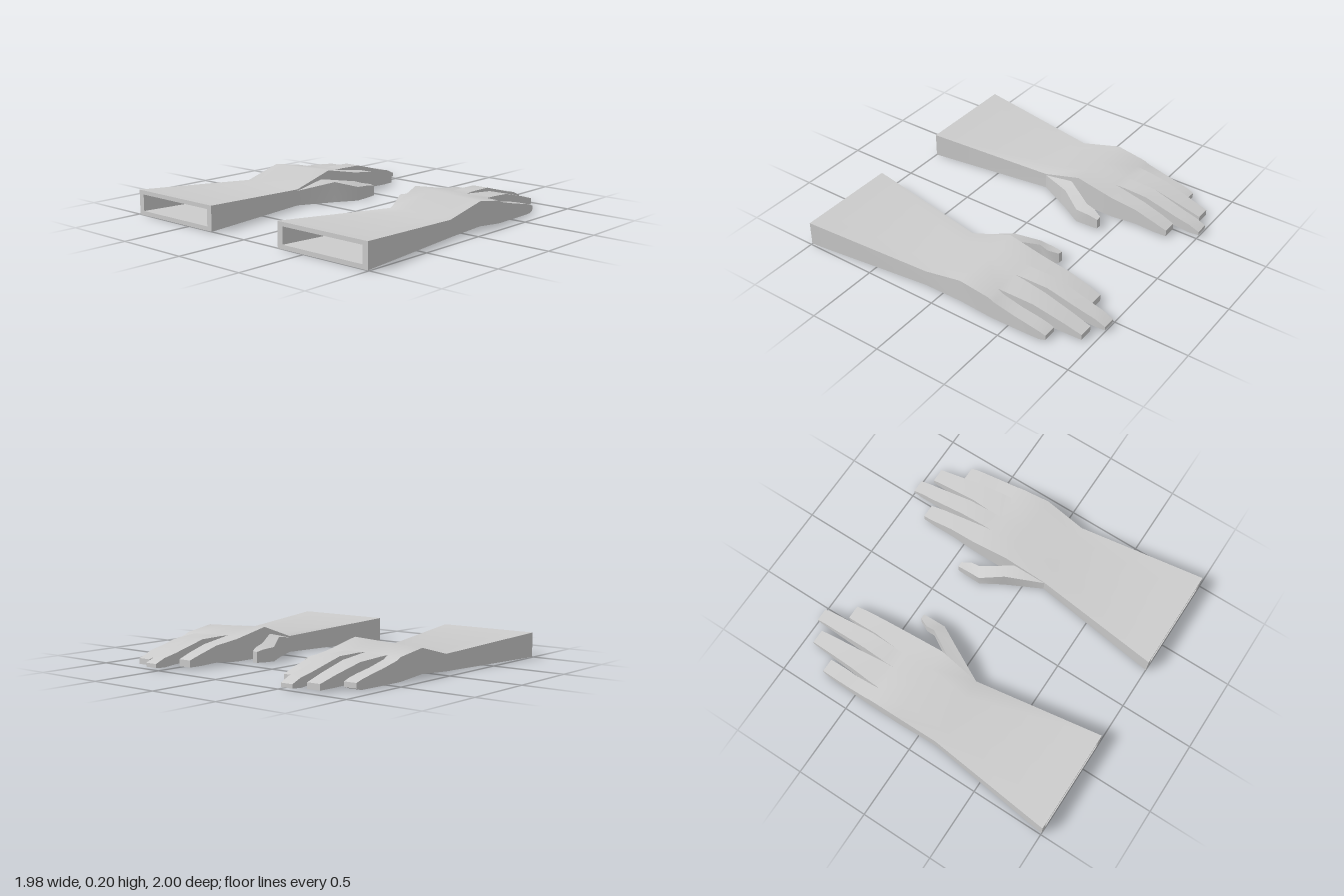
import * as THREE from 'three';
import { mergeGeometries, toCreasedNormals } from 'three/addons/utils/BufferGeometryUtils.js';

const gloveGrey = new THREE.MeshStandardMaterial({ color: 0xcccccc });
gloveGrey.name = 'gloveGrey';

// Fractions across the hand where the fingers divide
const SPLITS = [0, 0.265, 0.49, 0.81, 1];
const lerp = THREE.MathUtils.lerp;

// Cross-section: bottom row thumb side to outer side, then the top row back
function ring(z, x0, x1, b0, b1, t0, t1, splits = SPLITS) {
  const row = (y0, y1) => splits.map(f => [lerp(x0, x1, f), lerp(y0, y1, f), z]);
  return [...row(b0, b1), ...row(t0, t1).reverse()];
}

// Skin a list of rings and close both ends; side = -1 mirrors in x
function loft(rings, side) {
  const pos = [];
  const tri = (a, b, c) => {
    for (const p of side > 0 ? [a, b, c] : [a, c, b]) pos.push(p[0] * side, p[1], p[2]);
  };
  const n = rings[0].length;
  for (let r = 0; r < rings.length - 1; r++) {
    const A = rings[r], B = rings[r + 1];
    for (let i = 0; i < n; i++) {
      const j = (i + 1) % n;
      tri(A[i], B[i], A[j]);
      tri(A[j], B[i], B[j]);
    }
  }
  const first = rings[0], last = rings[rings.length - 1];
  for (let i = 0; i < n / 2 - 1; i++) {
    const j = n - 1 - i;
    tri(first[i], first[i + 1], first[j - 1]);
    tri(first[i], first[j - 1], first[j]);
    tri(last[i], last[j - 1], last[i + 1]);
    tri(last[i], last[j], last[j - 1]);
  }
  const g = new THREE.BufferGeometry();
  g.setAttribute('position', new THREE.Float32BufferAttribute(pos, 3));
  return g;
}

const WRIST = [0.13, 0.41, 0.885, 0, 0, 0.11, 0.11];
const PALM_END = [-0.36, 0.385, 0.895, 0, 0, 0.16, 0.148];

// Finger sections after the palm: z, x0, x1, bottom, top
const FINGERS = {
  indexFinger: [
    [-0.42, 0.385, 0.518, 0, 0.148], [-0.6, 0.39, 0.5, 0.015, 0.125],
    [-0.74, 0.39, 0.495, 0.01, 0.085], [-0.83, 0.395, 0.488, 0.01, 0.055]],
  middleFinger: [
    [-0.43, 0.52, 0.635, 0, 0.158], [-0.6, 0.515, 0.628, 0.03, 0.155],
    [-0.84, 0.518, 0.617, 0.02, 0.09], [-0.93, 0.52, 0.613, 0.01, 0.07],
    [-1, 0.523, 0.61, 0.015, 0.04]],
  ringFinger: [
    [-0.43, 0.636, 0.795, 0, 0.148], [-0.6, 0.65, 0.78, 0.02, 0.135],
    [-0.8, 0.655, 0.764, 0.012, 0.085], [-0.93, 0.66, 0.755, 0.01, 0.048]],
  littleFinger: [
    [-0.4, 0.8, 0.895, 0, 0.13], [-0.54, 0.8, 0.892, 0, 0.098],
    [-0.65, 0.793, 0.888, 0, 0.076], [-0.72, 0.791, 0.884, 0, 0.06],
    [-0.76, 0.79, 0.88, 0.012, 0.045]],
};

// Thumb sections: outer x and z, hand-side x and z, bottom, outer top, hand-side top
const THUMB = [
  [0.41, 0.13, 0.42, 0.13, 0, 0.1, 0.105],
  [0.29, -0.11, 0.4, -0.08, 0, 0.14, 0.15],
  [0.205, -0.255, 0.27, -0.295, 0, 0.095, 0.12],
  [0.205, -0.36, 0.27, -0.355, 0.005, 0.09, 0.1],
  [0.205, -0.42, 0.24, -0.42, 0.01, 0.08, 0.085],
];

function buildHand(side) {
  const parts = {};

  // Forearm: from the hollow's end wall, out to the rim, back along the outside
  parts.forearm = loft([
    ring(0.5, 0.385, 0.895, 0.025, 0.025, 0.115, 0.115),
    ring(1, 0.33, 0.95, 0.028, 0.028, 0.138, 0.138),
    ring(1, 0.29, 0.99, 0, 0, 0.165, 0.165),
    ring(...WRIST),
  ], side);

  // Palm rising to the knuckles
  parts.palm = loft([
    ring(...WRIST),
    ring(-0.15, 0.385, 0.9, 0, 0.02, 0.203, 0.18),
    ring(...PALM_END),
  ], side);

  // Fingers start on the palm's end section
  Object.entries(FINGERS).forEach(([name, sections], i) => {
    const [z, x0, x1, b0, b1, t0, t1] = PALM_END;
    const f = SPLITS[i], g = SPLITS[i + 1];
    const root = ring(z, lerp(x0, x1, f), lerp(x0, x1, g), b0, b1,
      lerp(t0, t1, f), lerp(t0, t1, g), [0, 1]);
    const rest = sections.map(([fz, a, b, lo, hi]) => ring(fz, a, b, lo, lo, hi, hi, [0, 1]));
    parts[name] = loft([root, ...rest], side);
  });

  parts.thumb = loft(THUMB.map(([xo, zo, xi, zi, b, to, ti]) =>
    [[xo, b, zo], [xi, b, zi], [xi, ti, zi], [xo, to, zo]]), side);

  // Shared creased normals, so shading flows from one part into the next
  const whole = toCreasedNormals(mergeGeometries(Object.values(parts)), 0.6);
  const normals = whole.getAttribute('normal').array;
  const hand = new THREE.Group();
  let start = 0;
  for (const [name, geometry] of Object.entries(parts)) {
    const size = geometry.getAttribute('position').count * 3;
    geometry.setAttribute('normal',
      new THREE.BufferAttribute(normals.slice(start, start + size), 3));
    start += size;
    const mesh = new THREE.Mesh(geometry, gloveGrey);
    mesh.name = name;
    hand.add(mesh);
  }
  hand.name = side > 0 ? 'leftArm' : 'rightArm';
  return hand;
}

export function createModel() {
  const model = new THREE.Group();
  model.name = 'pairOfHands';
  model.add(buildHand(1), buildHand(-1));
  return model;
}
